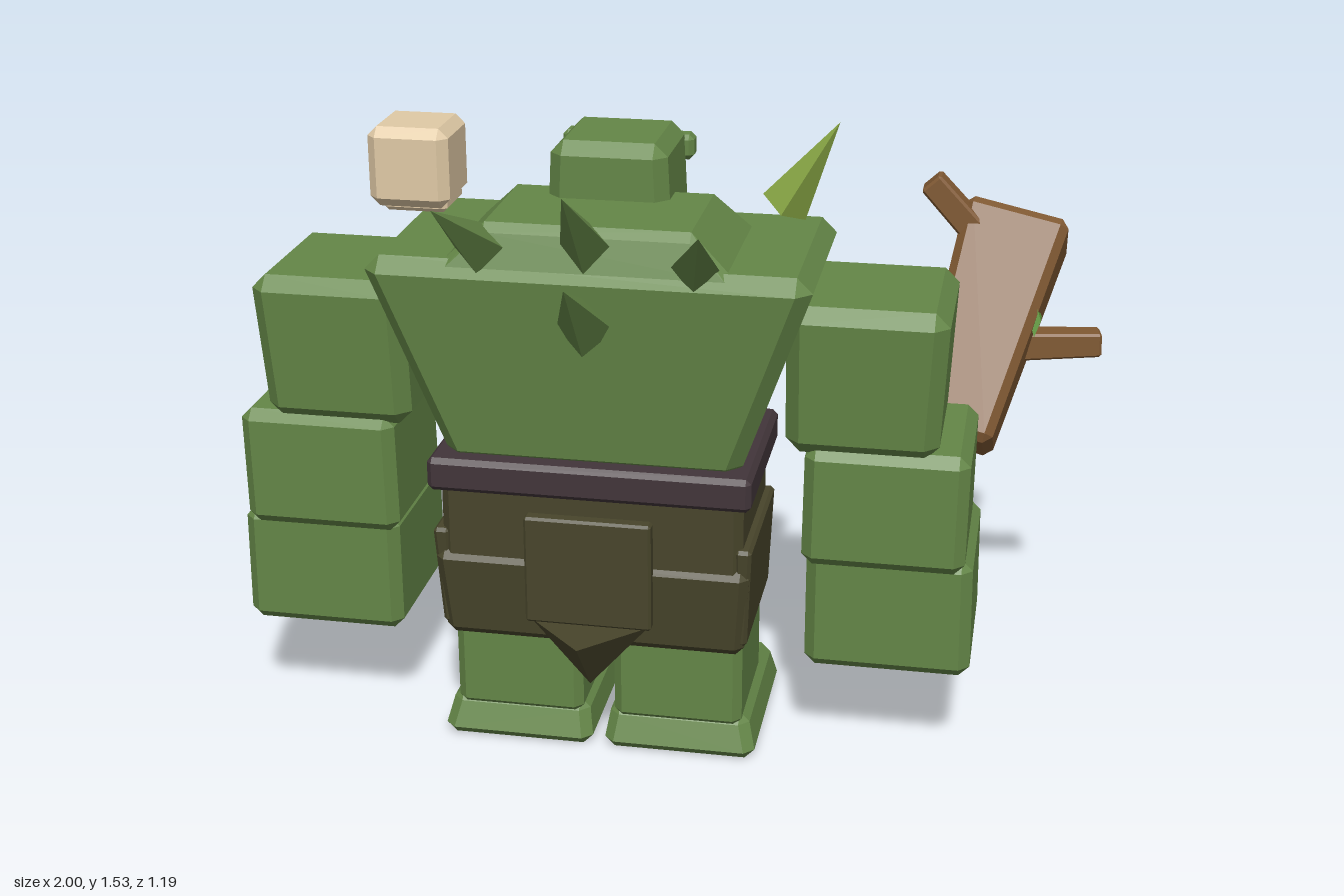
import * as THREE from 'three';
import { ConvexGeometry } from 'three/addons/geometries/ConvexGeometry.js';

const material = (name, color) => {
  const m = new THREE.MeshStandardMaterial({ color });
  m.name = name;
  return m;
};
const V = (a) => new THREE.Vector3(...a);

export function createModel() {
  const skin = material('green skin', 0x648647);
  const cloth = material('dark hide cloth', 0x48452b);
  const leather = material('belt leather', 0x42353a);
  const wood = material('club wood', 0x805933);
  const bone = material('bone', 0xe0caa6);
  const socket = material('eye socket brown', 0x5a3820);
  const horn = material('pale horn', 0x87a644);
  const glow = material('bright green', 0x66c23c);
  const leaf = material('leaf green', 0x5f9a3a);

  const model = new THREE.Group();
  model.name = 'ogre';
  const body = new THREE.Group();
  body.name = 'body';
  body.position.x = -0.13;
  model.add(body);

  const add = (parent, name, geo, mat) => {
    const mesh = new THREE.Mesh(geo, mat);
    mesh.name = name;
    parent.add(mesh);
    return mesh;
  };

  // Bevelled block between two rectangles [x0, x1, z0, z1] at heights y0 and y1
  function block(parent, name, mat, y0, y1, low, high = low, c = 0.03) {
    const pts = [];
    for (const [y, r, dy] of [[y0, low, c], [y1, high, -c]])
      for (const i of [0, 1])
        for (const k of [2, 3]) {
          const sx = r[i] < r[1 - i] ? c : -c, sz = r[k] < r[5 - k] ? c : -c;
          pts.push(V([r[i] + sx, y, r[k] + sz]), V([r[i], y + dy, r[k] + sz]), V([r[i] + sx, y + dy, r[k]]));
        }
    return add(parent, name, new ConvexGeometry(pts), mat);
  }

  // Point an object's y axis from a to b, keeping its x axis near the world's
  function orient(obj, a, b) {
    const y = V(b).sub(V(a)).normalize();
    const guide = Math.abs(y.x) > 0.8 ? V([0, 0, 1]) : V([1, 0, 0]);
    const x = guide.addScaledVector(y, -guide.dot(y)).normalize();
    obj.quaternion.setFromRotationMatrix(new THREE.Matrix4().makeBasis(x, y, x.clone().cross(y)));
    obj.position.copy(V(a));
    return obj;
  }
  const square = (w) => [-w / 2, w / 2, -w / 2, w / 2];
  const beam = (name, a, b, w0, w1, c) =>
    orient(block(model, name, wood, 0, V(a).distanceTo(V(b)), square(w0), square(w1), c), a, b);

  // Four-sided spike from base centre a to tip b
  function spike(parent, name, mat, a, b, r) {
    const h = V(a).distanceTo(V(b));
    const geo = new THREE.ConeGeometry(r, h, 4).toNonIndexed();
    geo.computeVertexNormals();
    geo.translate(0, h / 2, 0);
    return orient(add(parent, name, geo, mat), a, b);
  }

  // Torso, collar and head
  block(body, 'torso', skin, 0.73, 1.235, [-0.345, 0.345, -0.03, 0.36], [-0.5, 0.5, -0.11, 0.42], 0.035);
  block(body, 'collar', skin, 1.2, 1.315, [-0.33, 0.33, 0.005, 0.4], [-0.25, 0.25, 0.035, 0.375], 0.02);
  block(body, 'head', skin, 1.18, 1.443, [-0.145, 0.145, -0.12, 0.15], [-0.135, 0.135, -0.125, 0.148]);
  block(body, 'brow', skin, 1.35, 1.41, [-0.157, 0.157, -0.145, -0.09], undefined, 0.012);

  // Waist
  block(body, 'belt', leather, 0.68, 0.76, [-0.374, 0.374, -0.05, 0.405], undefined, 0.012);
  block(body, 'upperSkirt', cloth, 0.48, 0.7, [-0.352, 0.352, -0.02, 0.375], undefined, 0.02);
  block(body, 'lowerSkirt', cloth, 0.295, 0.52, [-0.355, 0.355, -0.025, 0.365], [-0.368, 0.368, -0.03, 0.387], 0.02);

  // Loincloth panels with pointed ends, front and back
  for (const [z, name] of [[-0.045, 'front'], [0.395, 'back']]) {
    block(body, name + 'Panel', cloth, 0.37, 0.635, [-0.148, 0.148, z - 0.018, z + 0.018], undefined, 0.006);
    spike(body, name + 'PanelPoint', cloth, [0, 0.37, z], [0, 0.213, z], 0.137);
  }

  // Hide strips hanging side by side over the belt
  [0.6, 0.66, 0.57, 0.66, 0.6].forEach((y, i) => {
    const x = (i - 2) * 0.137, front = i % 2 ? -0.072 : -0.085;
    block(body, 'hideStrip', cloth, y, 0.815, [x - 0.068, x + 0.068, front, -0.03], undefined, 0.006);
  });

  // Paired parts
  for (const s of [-1, 1]) {
    const side = s > 0 ? 'left' : 'right';
    const pair = (name, mat, y0, y1, low, high, c) => {
      const flip = (r) => r && [r[0] * s, r[1] * s, r[2], r[3]];
      return block(body, side + name, mat, y0, y1, flip(low), flip(high), c);
    };
    pair('UpperArm', skin, 0.795, 1.15, [0.435, 0.78, -0.025, 0.325], [0.435, 0.793, -0.04, 0.35], 0.033);
    pair('Forearm', skin, 0.52, 0.81, [0.477, 0.85, -0.055, 0.32], [0.48, 0.852, -0.05, 0.32], 0.025);
    pair('Fist', skin, 0.25, 0.545, [0.487, 0.872, -0.105, 0.295], [0.487, 0.868, -0.1, 0.295], 0.025);
    pair('Knuckles', skin, 0.315, 0.515, [0.505, 0.855, -0.118, -0.08], undefined, 0.01);
    pair('Chest', skin, 0.96, 1.14, [0.03, 0.335, -0.105, -0.04], [0.03, 0.335, -0.106, -0.06], 0.005);
    pair('HipFlap', cloth, 0.32, 0.572, [0.335, 0.362, -0.01, 0.355], [0.335, 0.373, -0.015, 0.375], 0.008);
    pair('Leg', skin, 0.08, 0.34, [0.038, 0.345, 0.0, 0.32], undefined, 0.02);
    pair('Foot', skin, 0.0, 0.11, [0.015, 0.378, -0.11, 0.333], [0.025, 0.362, -0.095, 0.31], 0.024);
    const eye = add(body, side + 'Eye', new THREE.BoxGeometry(0.085, 0.04, 0.024), glow);
    eye.position.set(0.068 * s, 1.33, -0.13);
    eye.rotation.z = 0.25 * s;
  }

  // Back spikes
  spike(body, 'backSpike', skin, [0, 1.265, 0.36], [0, 1.445, 0.59], 0.06);
  spike(body, 'backSpike', skin, [0, 1.09, 0.385], [0, 1.245, 0.59], 0.065);
  spike(body, 'backSpike', skin, [-0.235, 1.25, 0.36], [-0.28, 1.405, 0.59], 0.062);
  spike(body, 'backSpike', skin, [0.24, 1.225, 0.36], [0.285, 1.375, 0.59], 0.06);
  spike(model, 'shoulderHorn', horn, [0.28, 1.335, 0.195], [0.4, 1.535, 0.21], 0.055);

  // Shoulder skull
  block(model, 'skull', bone, 1.29, 1.475, [-0.67, -0.482, 0.03, 0.218], undefined, 0.022);
  block(model, 'skullJaw', bone, 1.27, 1.33, [-0.65, -0.5, 0.028, 0.17], undefined, 0.01);
  for (const x of [-0.615, -0.535]) {
    const hole = add(model, 'skullEye', new THREE.BoxGeometry(0.058, 0.058, 0.009), socket);
    hole.position.set(x, 1.385, 0.026);
  }

  // Club with pegs and a leaf
  beam('clubHandle', [0.515, 0.235, 0.18], [0.665, 0.75, -0.14], 0.095, 0.095, 0.01);
  beam('clubHead', [0.658, 0.685, -0.1], [0.782, 1.15, -0.41], 0.195, 0.255, 0.02);
  beam('clubPeg', [0.7, 1.13, -0.31], [0.57, 1.27, -0.31], 0.065, 0.06, 0.006);
  beam('clubPeg', [0.73, 0.98, -0.38], [0.66, 0.945, -0.59], 0.07, 0.06, 0.006);
  beam('clubPeg', [0.78, 0.88, -0.27], [0.997, 0.887, -0.3], 0.07, 0.06, 0.006);
  spike(model, 'clubLeaf', leaf, [0.838, 0.972, -0.185], [0.853, 0.95, -0.285], 0.04).scale.x = 0.35;

  return model;
}
